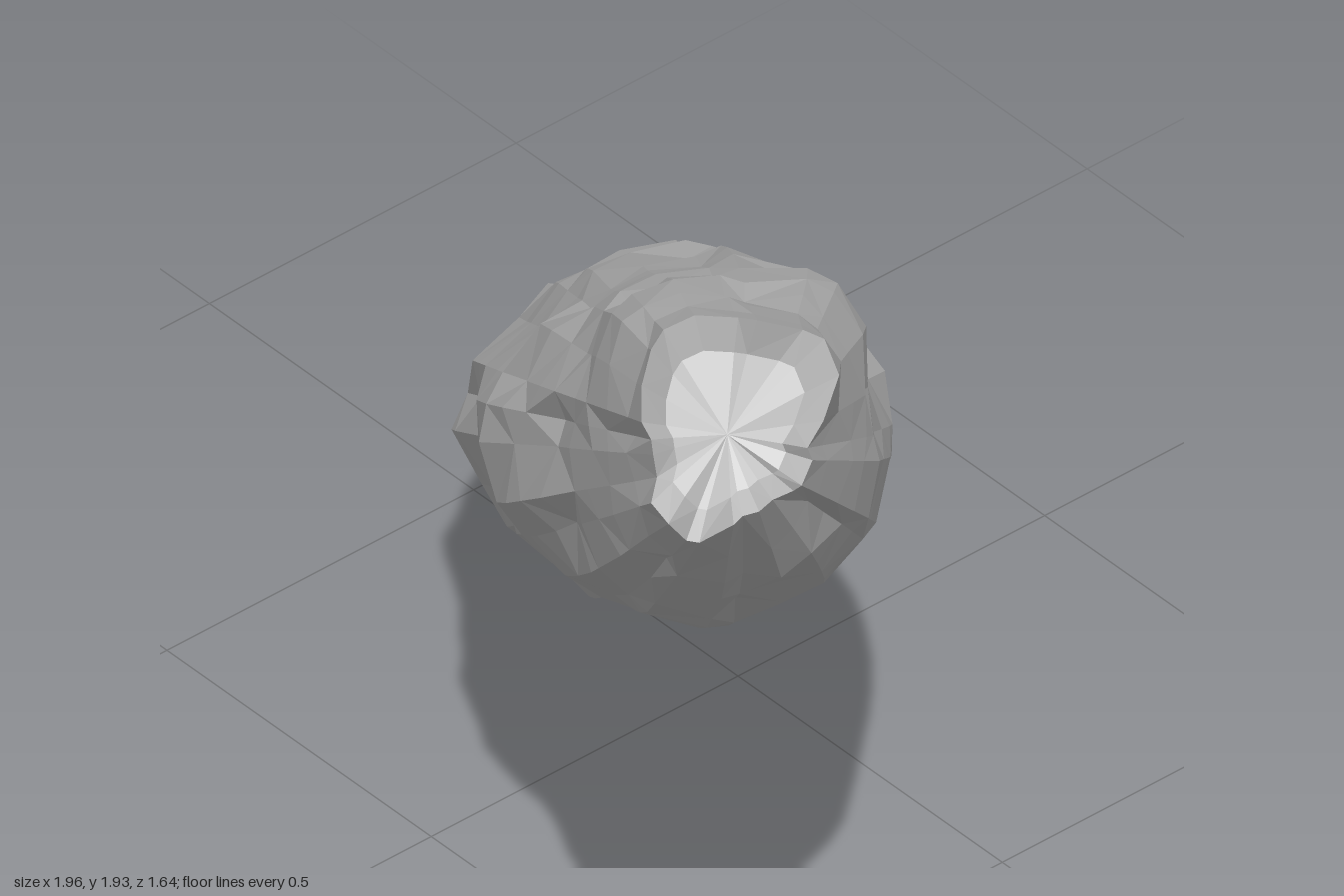
import * as THREE from 'three';

// Long axis of the slanted spindle and its section frame
const D = new THREE.Vector3(0.636, 0.594, 0.495).normalize();
const CENTRE = new THREE.Vector3(0, 0.93, 0.02);
const U = new THREE.Vector3(-D.y, D.x, 0).normalize();
const W = new THREE.Vector3().crossVectors(U, D);

// Edge profiles of the stone on three coordinate planes: [first axis, second axis, ...]
const EDGES = [
  { axes: ['x', 'y'], n: U.clone(), high: [-0.95, 0.22, -0.7, 0.56, -0.4, 0.87, 0, 1.22, 0.3, 1.49, 0.55, 1.73, 0.65, 1.79, 0.78, 1.91, 0.86, 1.96],
    low: [-0.99, 0.01, -0.9, 0.02, -0.8, 0.08, -0.6, 0.2, -0.3, 0.39, 0, 0.63, 0.25, 0.84, 0.5, 1.07, 0.8, 1.43, 0.98, 1.74] },
  { axes: ['z', 'y'], n: new THREE.Vector3(0, D.z, -D.y).normalize(), high: [-0.81, 0.09, -0.7, 0.27, -0.6, 0.43, -0.42, 0.76, -0.2, 1.03, 0, 1.29, 0.18, 1.51, 0.42, 1.7, 0.64, 1.96],
    low: [-0.73, 0, -0.55, 0.06, -0.33, 0.2, -0.2, 0.32, 0, 0.55, 0.25, 0.85, 0.5, 1.17, 0.66, 1.42, 0.82, 1.7] },
  { axes: ['x', 'z'], n: new THREE.Vector3(D.z, 0, -D.x).normalize(), high: [-0.94, -0.81, -0.6, -0.64, -0.27, -0.46, 0, -0.26, 0.2, -0.15, 0.4, 0.02, 0.65, 0.25, 0.8, 0.43, 0.99, 0.66],
    low: [-1, -0.68, -0.94, -0.55, -0.8, -0.37, -0.67, -0.18, -0.57, -0.1, -0.3, 0.1, 0, 0.35, 0.4, 0.55, 0.7, 0.73, 0.84, 0.8] },
];

// Turn a flat profile into [distance along axis, radius] pairs at one section angle
function rail({ axes: [a, b], n }, flat, sign) {
  const len2 = D[a] ** 2 + D[b] ** 2;
  const points = [];
  for (let i = 0; i < flat.length; i += 2) {
    const p = flat[i] - CENTRE[a], q = flat[i + 1] - CENTRE[b];
    points.push([(p * D[a] + q * D[b]) / len2, sign * (p * n[a] + q * n[b])]);
  }
  points.sort((s, t) => s[0] - t[0]);
  const angle = Math.atan2(n.dot(W), n.dot(U)) + (sign < 0 ? Math.PI : 0);
  return { angle, points };
}
const RAILS = [...EDGES.map((e) => rail(e, e.high, 1)), ...EDGES.map((e) => rail(e, e.low, -1))];

function sample(points, s) {
  if (s <= points[0][0]) return points[0][1];
  for (let i = 1; i < points.length; i++) {
    const [s0, r0] = points[i - 1], [s1, r1] = points[i];
    if (s <= s1) return r0 + (r1 - r0) * (s - s0) / (s1 - s0 || 1);
  }
  return points[points.length - 1][1];
}

// Radius at any angle: smooth blend between the six rails
function radius(s, angle) {
  const a = (angle + Math.PI * 4) % (Math.PI * 2);
  for (let i = 0; i < 6; i++) {
    const a0 = RAILS[i].angle, a1 = i < 5 ? RAILS[i + 1].angle : Math.PI * 2;
    if (a >= a0 - 1e-6 && a <= a1 + 1e-6) {
      const k = (a - a0) / (a1 - a0);
      const f = k * k * (3 - 2 * k);
      return Math.max(0.05, sample(RAILS[i].points, s) * (1 - f) + sample(RAILS[(i + 1) % 6].points, s) * f);
    }
  }
  return 0.2;
}

function seeded(seed) {
  return () => {
    seed = (seed * 1664525 + 1013904223) % 4294967296;
    return seed / 4294967296;
  };
}

function place(s, r, angle) {
  return CENTRE.clone().addScaledVector(D, s)
    .addScaledVector(U, r * Math.cos(angle)).addScaledVector(W, r * Math.sin(angle));
}

// Skin a list of equal-length rings with flat facets
function skin(rings) {
  const n = rings[0].length, index = [];
  for (let j = 0; j < rings.length - 1; j++) {
    for (let i = 0; i < n; i++) {
      const a = j * n + i, b = j * n + (i + 1) % n, c = a + n, d = b + n;
      if ((i + j) % 2) index.push(a, c, b, b, c, d);
      else index.push(a, c, d, a, d, b);
    }
  }
  const g = new THREE.BufferGeometry().setFromPoints(rings.flat());
  g.setIndex(index);
  const flat = g.toNonIndexed();
  flat.computeVertexNormals();
  return flat;
}

// Ring shrunk towards its middle and shifted along the axis
function inset(ring, scale, shift) {
  const mid = ring.reduce((m, p) => m.add(p), new THREE.Vector3()).divideScalar(ring.length);
  return ring.map((p) => {
    const q = p.clone().sub(mid);
    q.addScaledVector(D, -q.dot(D) * 0.3);
    return q.multiplyScalar(scale).add(mid).addScaledVector(D, shift);
  });
}

export function createModel() {
  const group = new THREE.Group();
  const stone = new THREE.MeshStandardMaterial({ color: 0xcccccc });
  const random = seeded(11);
  const SIDES = 26, ROWS = 18;

  // Each lengthwise column has its own angle, ends and slowly changing depth
  const columns = Array.from({ length: SIDES }, (_, i) => {
    const angle = (i + (random() - 0.5) * 0.6) / SIDES * Math.PI * 2;
    return {
      angle,
      start: -1.51 + 0.19 * Math.max(0, Math.cos(angle)) + random() * 0.03,
      end: 1.42 + random() * 0.06,
      depth: Array.from({ length: 8 }, () => 1.03 - 0.13 * random() ** 2),
    };
  });

  // Body rings with long ridges and shallow grooves
  const rings = [];
  for (let j = 0; j <= ROWS; j++) {
    rings.push(columns.map(({ angle, start, end, depth }) => {
      const inner = j > 0 && j < ROWS;
      const t = (j + (inner ? (random() - 0.5) * 0.6 : 0)) / ROWS;
      const s = start + (end - start) * t;
      const k = Math.min(6, Math.floor(t * 7));
      const ridge = depth[k] + (depth[k + 1] - depth[k]) * (t * 7 - k);
      const chip = inner && random() < 0.12 ? 0.93 : 1;
      return place(s, radius(s, angle) * ridge * chip, angle);
    }));
  }

  const add = (name, geometry) => {
    const mesh = new THREE.Mesh(geometry, stone);
    mesh.name = name;
    group.add(mesh);
  };
  add('stoneBody', skin(rings));

  // Hollowed upper break and blunt lower break
  const top = rings[ROWS], bottom = rings[0];
  add('upperBreak', skin([top, inset(top, 0.7, -0.05), inset(top, 0, -0.07)]));
  add('lowerBreak', skin([inset(bottom, 0, 0.01), inset(bottom, 0.6, 0), bottom]));
  return group;
}
